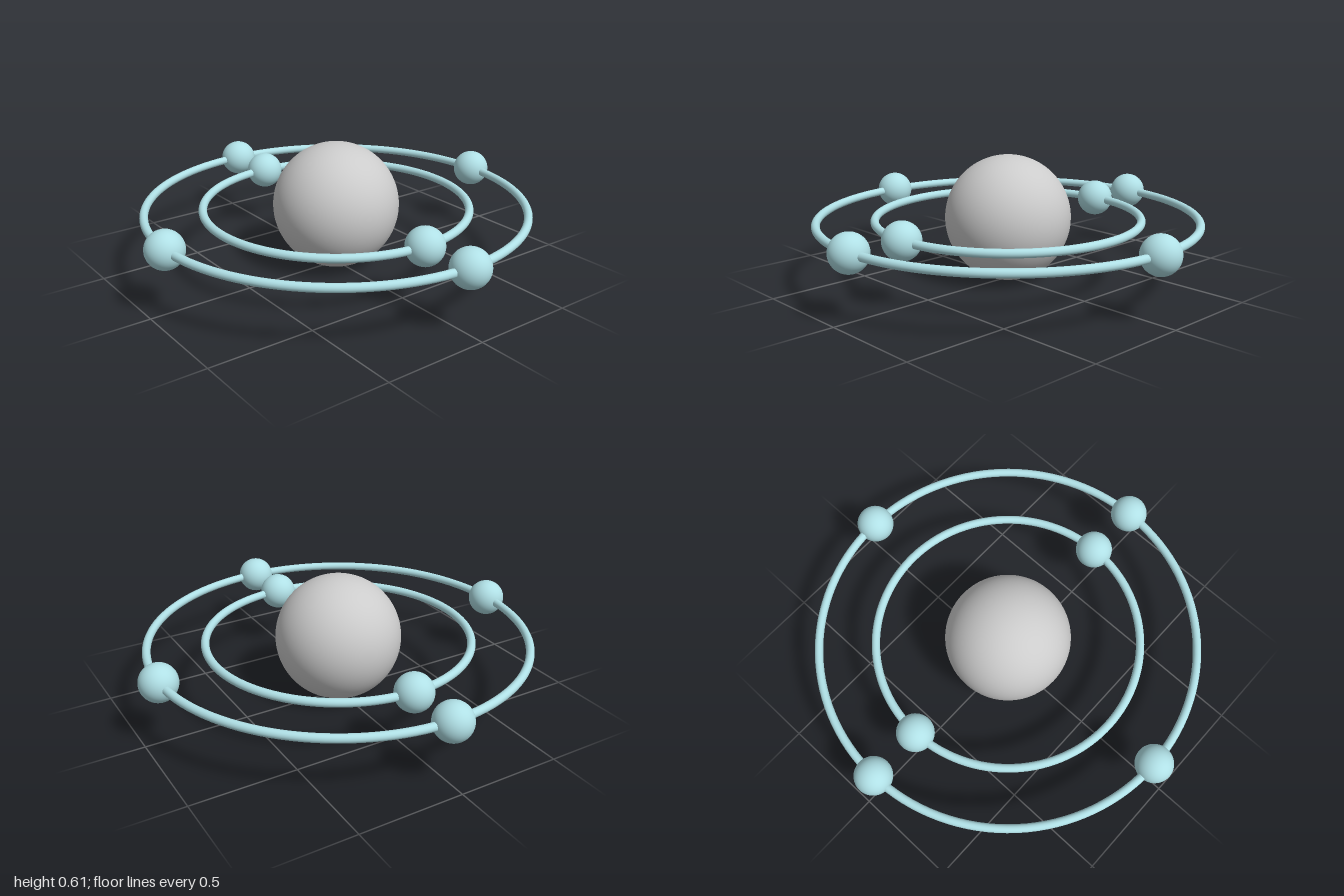
import * as THREE from 'three';

const CENTER_Y = 0.303;

export function createModel() {
  const model = new THREE.Group();
  const grey = new THREE.MeshStandardMaterial({ color: 0xcccccc });
  const blue = new THREE.MeshStandardMaterial({ color: 0xb0e0e6 });

  function add(parent, name, geometry, material) {
    const mesh = new THREE.Mesh(geometry, material);
    mesh.name = name;
    parent.add(mesh);
    return mesh;
  }

  // Central nucleus
  add(model, 'nucleus', new THREE.SphereGeometry(0.303, 64, 48), grey).position.y = CENTER_Y;

  // Flat orbit ring with evenly spaced electrons, the first at the front (+z)
  const electronGeometry = new THREE.SphereGeometry(0.09, 40, 28);
  function addShell(name, radius, electronCount) {
    const shell = new THREE.Group();
    shell.name = name;
    shell.position.y = CENTER_Y;
    add(shell, 'orbitRing', new THREE.TorusGeometry(radius, 0.02, 20, 128).rotateX(Math.PI / 2), blue);
    for (let i = 0; i < electronCount; i++) {
      const angle = (i / electronCount) * Math.PI * 2;
      add(shell, 'electron', electronGeometry, blue)
        .position.set(Math.sin(angle) * radius, 0, Math.cos(angle) * radius);
    }
    model.add(shell);
  }
  addShell('innerShell', 0.637, 2);
  addShell('outerShell', 0.91, 4);

  return model;
}
